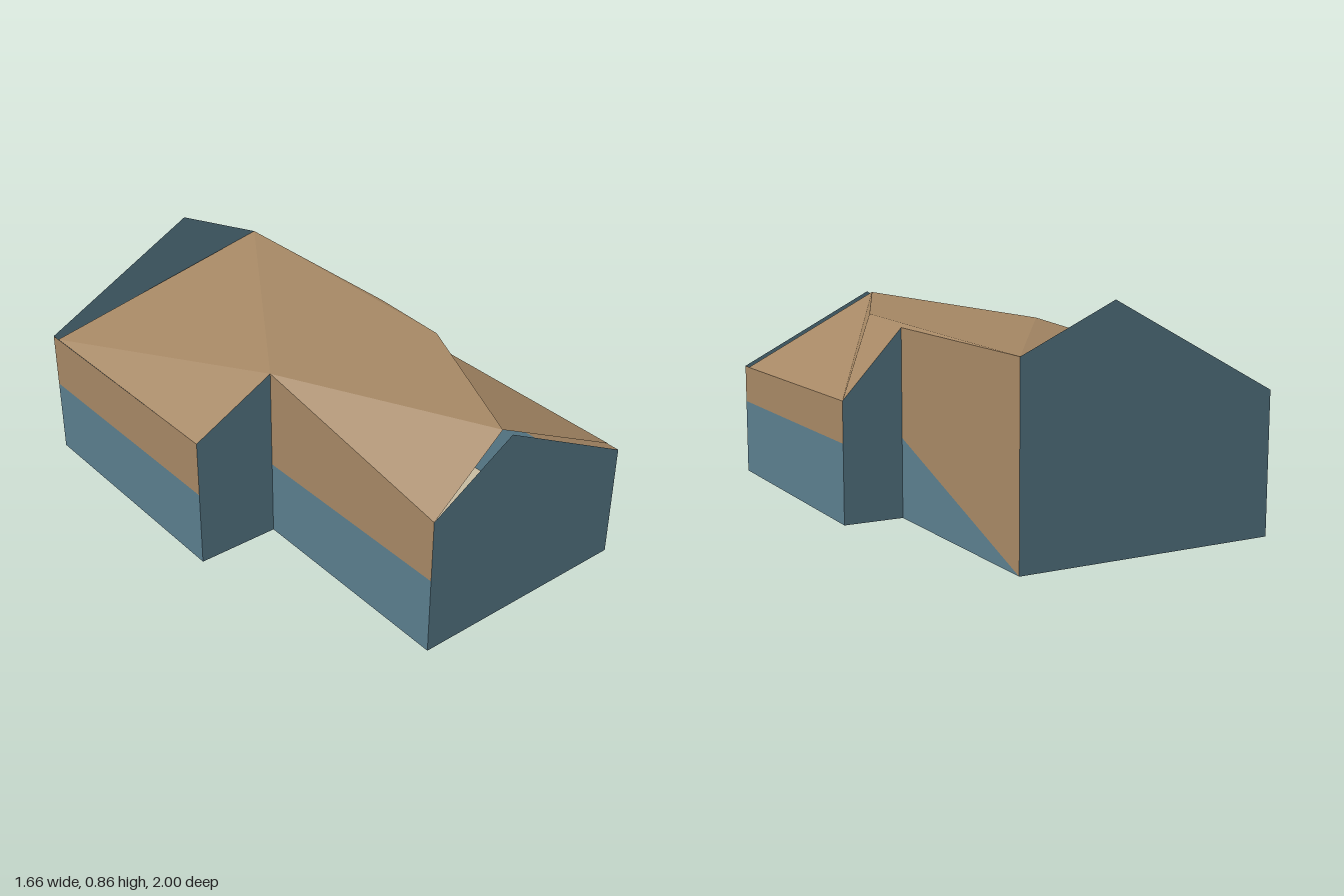
import * as THREE from 'three';

export function createModel() {
  const model = new THREE.Group();
  model.name = 'house';
  const mat = (name, color) => {
    const m = new THREE.MeshStandardMaterial({ color, side: THREE.DoubleSide, flatShading: true });
    m.name = name;
    return m;
  };
  const blue = mat('blue wall', 0x5a7d8d);
  const brown = mat('brown roof', 0xa58764);
  const pale = mat('pale floor', 0xc6baa0);

  const addMesh = (name, geometry, material, parent = model) => {
    const mesh = new THREE.Mesh(geometry, material);
    mesh.name = name;
    parent.add(mesh);
  };
  // Flat polygon as a triangle fan, corners counter-clockwise from outside
  const panel = (name, material, pts, parent) => {
    const pos = [];
    for (let i = 1; i < pts.length - 1; i++) pos.push(...pts[0], ...pts[i], ...pts[i + 1]);
    const g = new THREE.BufferGeometry();
    g.setAttribute('position', new THREE.Float32BufferAttribute(pos, 3));
    g.computeVertexNormals();
    addMesh(name, g, material, parent);
  };

  // Footprint corners [x, z], counter-clockwise seen from above
  const A = [0.13, -1], B = [-0.835, -0.75], C = [-0.575, 0.23], D = [-0.26, 0.15];
  const E = [-0.04, 1], F = [0.83, 0.77], G = [0.57, -0.24], H = [0.345, -0.185];
  const at = ([x, z], y) => [x, y, z];

  // Floor
  const outline = [A, B, C, D, E, F, G, H].map(([x, z]) => new THREE.Vector2(x, -z));
  addMesh('floor', new THREE.ShapeGeometry(new THREE.Shape(outline)).rotateX(-Math.PI / 2), pale);

  // End walls, with an optional gable peak between the corners
  const endWall = (name, p, q, yp, yq, ...peak) =>
    panel(name, blue, [at(p, 0), at(q, 0), at(q, yq), ...peak, at(p, yp)]);
  endWall('backGable', A, B, 0.7, 0.52, [-0.21, 0.86, -0.912]);
  endWall('frontGable', E, F, 0.54, 0.45, [0.285, 0.74, 0.914]);
  endWall('frontStepWall', C, D, 0.52, 0.69);
  endWall('backStepWall', G, H, 0.455, 0.705);

  // Side walls: blue base to 0.3, brown above
  const base = 0.3;
  const sideWall = (name, p, q, yp, yq) => {
    panel(name + 'Base', blue, [at(p, 0), at(q, 0), at(q, base), at(p, base)]);
    panel(name + 'Upper', brown, [at(p, base), at(q, base), at(q, yq), at(p, yp)]);
  };
  sideWall('rearRightWall', B, C, 0.52, 0.52);
  sideWall('frontRightWall', D, E, 0.69, 0.54);
  sideWall('frontLeftWall', F, G, 0.45, 0.455);
  // Rear wall whose base tapers to the back corner
  panel('rearLeftWallBase', blue, [at(H, 0), at(A, 0), at(H, base)]);
  panel('rearLeftWallUpper', brown, [at(H, base), at(A, 0), at(A, 0.7), at(H, 0.705)]);

  // Roof of folded triangles
  const rA = at(A, 0.7), rC = at(C, 0.52), rD = at(D, 0.69), rE = at(E, 0.54);
  const rG = at(G, 0.455), rH = at(H, 0.705);
  const rB = [-0.825, 0.52, -0.715], rF = [0.82, 0.45, 0.72];
  const ridge = [0.27, 0.74, 0.875], fold = [0.4, 0.72, 0.17];
  const roof = new THREE.Group();
  roof.name = 'roof';
  model.add(roof);
  [
    [rB, rC, rD], [rB, rD, rA], [rA, rD, fold], [rA, fold, rH], [rD, ridge, fold],
    [rD, rE, ridge], [ridge, rG, fold], [fold, rG, rH], [ridge, rF, rG],
  ].forEach((tri, i) => panel('roofFacet' + (i + 1), brown, tri, roof));

  return model;
}
